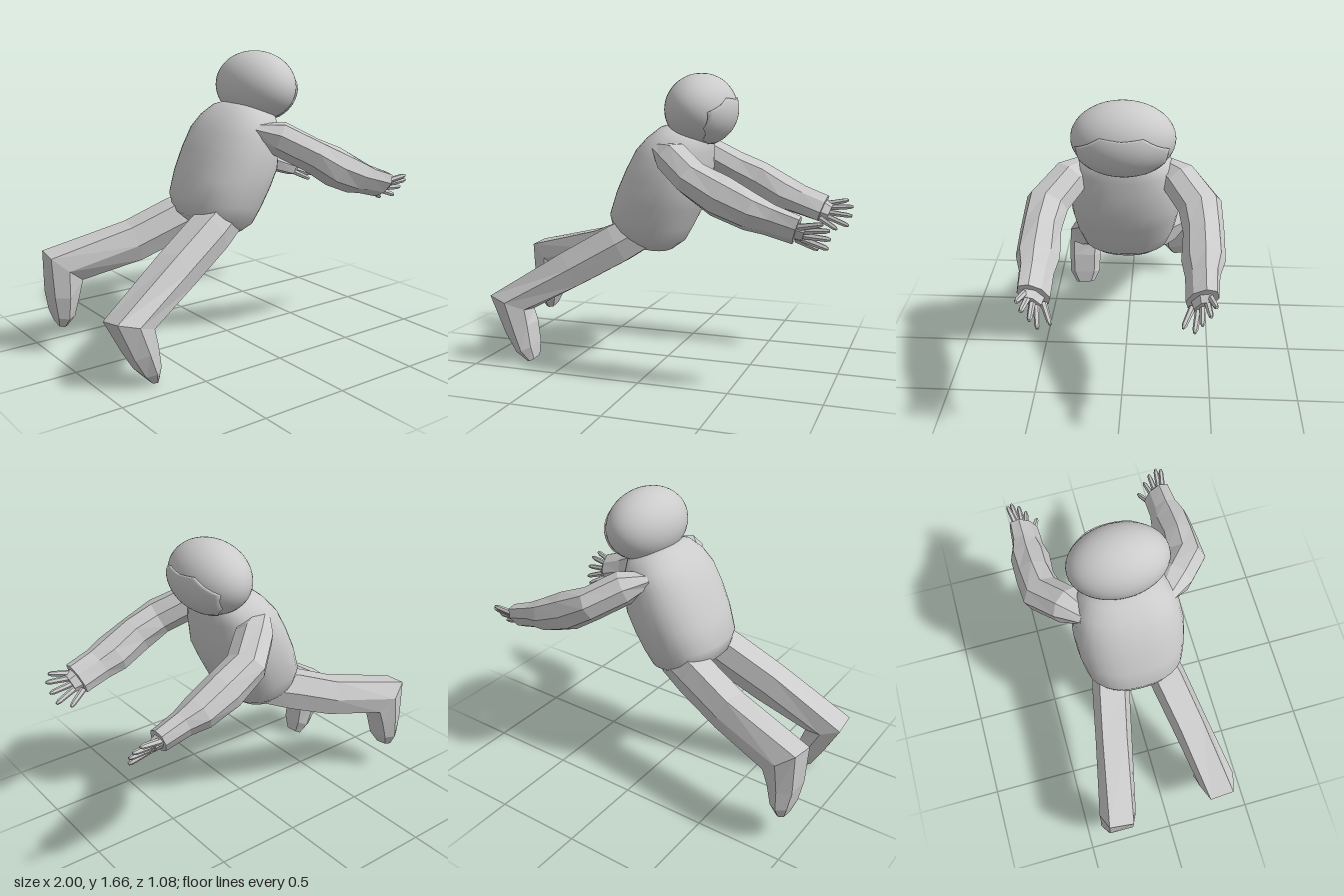
import * as THREE from 'three';

const V = (x, y, z) => new THREE.Vector3(x, y, z);
const grey = (flatShading, side = THREE.FrontSide) =>
  new THREE.MeshStandardMaterial({ color: 0xcccccc, flatShading, side });
const bulge = (c, power) => Math.sign(c) * Math.abs(c) ** power;

// Closed skin over a list of equal-length rings, each running counter-clockwise about the path
function skin(name, rings, flat) {
  const n = rings[0].length, pos = [], idx = [];
  rings.forEach(r => r.forEach(p => pos.push(p.x, p.y, p.z)));
  for (let i = 0; i < rings.length - 1; i++) {
    for (let j = 0; j < n; j++) {
      const a = i * n + j, b = i * n + (j + 1) % n;
      idx.push(a, b, b + n, a, b + n, a + n);
    }
  }
  [0, rings.length - 1].forEach(k => {
    const c = rings[k].reduce((s, p) => s.add(p), V(0, 0, 0)).divideScalar(n);
    const ci = pos.length / 3;
    pos.push(c.x, c.y, c.z);
    for (let j = 0; j < n; j++) {
      const a = k * n + j, b = k * n + (j + 1) % n;
      idx.push(...(k ? [ci, a, b] : [ci, b, a]));
    }
  });
  let geo = new THREE.BufferGeometry();
  geo.setAttribute('position', new THREE.Float32BufferAttribute(pos, 3));
  geo.setIndex(idx);
  if (flat) geo = geo.toNonIndexed();
  geo.computeVertexNormals();
  const mesh = new THREE.Mesh(geo, grey(flat));
  mesh.name = name;
  return mesh;
}

// Faceted limb along stations [x, y, z, half width, half depth, roll], mitred at every bend;
// a power below 1 widens its flat faces
function limb(name, stations, sides, mirror = 1, power = 1) {
  const pts = stations.map(s => V(s[0], s[1], s[2] * mirror));
  const dirs = pts.slice(1).map((p, i) => p.clone().sub(pts[i]).normalize());
  const rings = pts.map((p, i) => {
    const t = dirs[Math.max(i - 1, 0)].clone().add(dirs[Math.min(i, dirs.length - 1)]).normalize();
    const [w, d, turn = 0] = stations[i].slice(3);
    const roll = turn * mirror;
    const side = V(0, 0, 1).addScaledVector(t, -t.z).normalize().applyAxisAngle(t, roll);
    const other = t.clone().cross(side);
    return Array.from({ length: sides }, (_, j) => {
      const a = (j / sides) * Math.PI * 2 - roll;
      return p.clone().addScaledVector(side, bulge(Math.cos(a), power) * w)
        .addScaledVector(other, Math.sin(a) * d / Math.cos(Math.PI / sides));
    });
  });
  return skin(name, rings, true);
}

// Leaning body: sections [back x, back y, front x, front y, half width]
function makeTorso() {
  const sections = [
    [-0.15, 0.68, -0.03, 0.652, 0.1],
    [-0.23, 0.71, 0.03, 0.657, 0.19],
    [-0.3, 0.775, 0.09, 0.7, 0.25],
    [-0.32, 0.87, 0.14, 0.79, 0.285],
    [-0.275, 1.0, 0.195, 0.9, 0.305],
    [-0.215, 1.13, 0.24, 1.0, 0.31],
    [-0.155, 1.24, 0.255, 1.13, 0.295],
    [-0.09, 1.31, 0.26, 1.22, 0.265],
    [-0.02, 1.365, 0.26, 1.29, 0.21],
    [0.06, 1.39, 0.24, 1.33, 0.12],
  ];
  const rings = sections.map(([bx, by, fx, fy, w]) => Array.from({ length: 32 }, (_, j) => {
    const a = (j / 32) * Math.PI * 2, k = bulge(Math.cos(a), 0.85) / 2;
    return V((bx + fx) / 2 + k * (fx - bx), (by + fy) / 2 + k * (fy - by),
      0.005 - w * bulge(Math.sin(a), 0.85));
  }));
  return skin('torso', rings, false);
}

const HEAD = V(0.2, 1.462, 0.006), HEAD_R = V(0.198, 0.2, 0.279);

function makeHead() {
  const geo = new THREE.SphereGeometry(1, 40, 28).scale(HEAD_R.x, HEAD_R.y, HEAD_R.z);
  const mesh = new THREE.Mesh(geo, grey(false));
  mesh.name = 'head';
  mesh.position.copy(HEAD);
  return mesh;
}

// Face shield: an outline in z, y projected onto a slightly larger ellipsoid, with a turned-in rim
function makeVisor() {
  const half = [[0, 1.515], [0.11, 1.525], [0.17, 1.487], [0.237, 1.452],
    [0.218, 1.365], [0.15, 1.302], [0.08, 1.28], [0, 1.275]];
  const corners = [...half, ...half.slice(1, -1).reverse().map(([z, y]) => [-z, y])];
  const outline = corners.flatMap(([z, y], i) => {
    const [z2, y2] = corners[(i + 1) % corners.length];
    return [0, 1, 2, 3].map(k => [z + (z2 - z) * k / 4, y + (y2 - y) * k / 4]);
  });
  const n = outline.length, steps = 12, pos = [], idx = [];
  for (let i = 0; i <= steps + 1; i++) {
    const f = Math.min(i / steps, 1), grow = i > steps ? 0.96 : 1.035;
    outline.forEach(([z, y]) => {
      const dz = z * f / HEAD_R.z, dy = (1.41 + (y - 1.41) * f - HEAD.y) / HEAD_R.y;
      const dx = Math.sqrt(Math.max(0, 1 - dz * dz - dy * dy));
      const p = V(dx, dy, dz).normalize().multiply(HEAD_R).multiplyScalar(grow).add(HEAD);
      pos.push(p.x, p.y, p.z);
    });
  }
  for (let i = 0; i <= steps; i++) {
    for (let j = 0; j < n; j++) {
      const a = i * n + j, b = i * n + (j + 1) % n;
      idx.push(a, b + n, a + n, a, b, b + n);
    }
  }
  const geo = new THREE.BufferGeometry();
  geo.setAttribute('position', new THREE.Float32BufferAttribute(pos, 3));
  // The outline runs clockwise seen from the front, so flip the faces outward
  geo.setIndex(idx.reverse());
  geo.computeVertexNormals();
  const mesh = new THREE.Mesh(geo, grey(false, THREE.DoubleSide));
  mesh.name = 'visor';
  return mesh;
}

// Sleeve with a rolled wrist, palm and spread fingers
function makeArm(name, mirror) {
  const arm = new THREE.Group();
  arm.name = name;
  arm.add(limb('sleeve', [
    [0.04, 1.24, 0.21, 0.07, 0.04],
    [0.14, 1.2, 0.3, 0.11, 0.09],
    [0.28, 1.11, 0.41, 0.12, 0.09],
    [0.43, 1.03, 0.428, 0.108, 0.105, -0.2],
    [0.59, 0.955, 0.425, 0.118, 0.09, -0.5],
    [0.69, 0.92, 0.42, 0.1, 0.068, -0.75],
    [0.83, 0.873, 0.417, 0.098, 0.058, -0.75],
  ], 8, mirror));
  arm.add(limb('palm', [
    [0.8, 0.88, 0.417, 0.075, 0.04, -0.75],
    [0.87, 0.855, 0.42, 0.06, 0.025, -0.75],
  ], 6, mirror));
  const fingers = [
    [0.84, 0.895, 0.455, 0.97, 0.92, 0.48],
    [0.85, 0.875, 0.44, 1.0, 0.885, 0.455],
    [0.85, 0.85, 0.42, 1.0, 0.835, 0.415],
    [0.85, 0.83, 0.4, 0.985, 0.78, 0.38],
    [0.82, 0.82, 0.37, 0.925, 0.765, 0.325],
  ];
  fingers.forEach(([x, y, z, u, v, w], i) => arm.add(limb(i < 4 ? 'finger' : 'thumb', [
    [x, y, z, 0.018, 0.016],
    [x + (u - x) * 0.85, y + (v - y) * 0.85, z + (w - z) * 0.85, 0.014, 0.013],
    [u, v, w, 0.007, 0.007],
  ], 6, mirror)));
  return arm;
}

export function createModel() {
  const model = new THREE.Group();
  model.name = 'leapingFigure';
  model.add(makeTorso(), makeHead(), makeVisor());
  model.add(makeArm('frontArm', 1), makeArm('backArm', -1));
  // Trailing legs, each ending in a foot that points down
  model.add(limb('frontLeg', [
    [-0.12, 0.77, 0.14, 0.1, 0.1],
    [-0.24, 0.7, 0.172, 0.108, 0.108],
    [-0.5, 0.55, 0.235, 0.106, 0.105],
    [-0.85, 0.342, 0.322, 0.108, 0.113],
    [-0.79, 0.2, 0.325, 0.105, 0.075],
    [-0.75, 0.085, 0.325, 0.1, 0.05],
    [-0.72, 0.016, 0.32, 0.06, 0.022],
  ], 6, 1, 0.6));
  model.add(limb('backLeg', [
    [-0.08, 0.765, -0.13, 0.1, 0.09],
    [-0.24, 0.71, -0.165, 0.108, 0.105],
    [-0.5, 0.605, -0.22, 0.106, 0.103],
    [-0.905, 0.508, -0.308, 0.106, 0.12],
    [-0.915, 0.35, -0.308, 0.106, 0.075],
    [-0.918, 0.23, -0.318, 0.1, 0.05],
    [-0.922, 0.165, -0.328, 0.055, 0.025],
  ], 6, 1, 0.6));
  return model;
}
